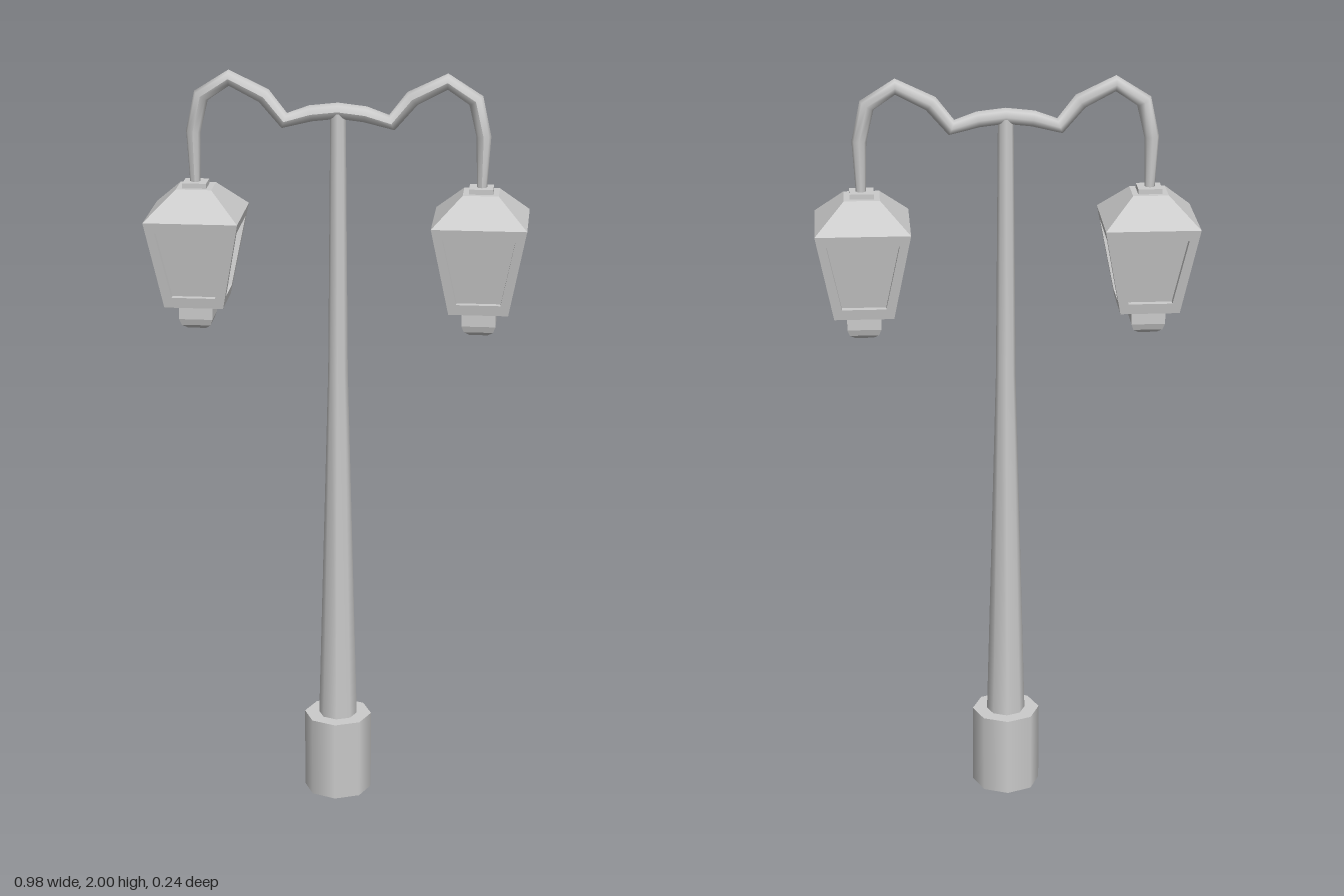
import * as THREE from 'three';

const smooth = new THREE.MeshStandardMaterial({ color: 0xcccccc });
const faceted = new THREE.MeshStandardMaterial({ color: 0xcccccc, flatShading: true });

function part(name, geometry, material) {
  const mesh = new THREE.Mesh(geometry, material);
  mesh.name = name;
  return mesh;
}

// Path through points with straight runs, one ring per point
class Polyline extends THREE.Curve {
  constructor(points) {
    super();
    this.points = points;
  }
  getPoint(t, target = new THREE.Vector3()) {
    const n = this.points.length - 1;
    const i = Math.min(Math.floor(t * n + 1e-9), n - 1);
    return target.lerpVectors(this.points[i], this.points[i + 1], t * n - i);
  }
  getPointAt(u, target) { return this.getPoint(u, target); }
  getTangentAt(u, target) { return this.getTangent(u, target); }
}

// Double-curved arm, narrowing where it meets the lanterns
function armGeometry() {
  const half = [[0.07, 1.888], [0.138, 1.868], [0.19, 1.931], [0.28, 1.976],
    [0.352, 1.929], [0.373, 1.836], [0.37, 1.69]];
  const points = [...half.map(([x, y]) => [-x, y]).reverse(), [0, 1.896], ...half]
    .map(([x, y]) => new THREE.Vector3(x, y, 0));
  const sides = 8, last = points.length - 1;
  const geo = new THREE.TubeGeometry(new Polyline(points), last, 0.021, sides);
  const pos = geo.attributes.position, v = new THREE.Vector3();
  for (let i = 0; i < pos.count; i++) {
    const ring = Math.floor(i / (sides + 1));
    const fromEnd = Math.min(ring, last - ring);
    const scale = fromEnd === 0 ? 0.6 : fromEnd === 1 ? 0.9 : 1;
    v.fromBufferAttribute(pos, i).sub(points[ring]).multiplyScalar(scale).add(points[ring]);
    pos.setXYZ(i, v.x, v.y, v.z);
  }
  geo.computeVertexNormals();
  return geo;
}

// Square solid from [half width, y] pairs, listed bottom to top
function squareLoft(profile) {
  const geo = new THREE.LatheGeometry(
    profile.map(([h, y]) => new THREE.Vector2(h * Math.SQRT2, y)), 4);
  return geo.rotateY(Math.PI / 4);
}

// One sloping lantern side: frame, window reveal and recessed pane
function lanternSide() {
  const halfAt = y => 0.077 + 0.045 * (y - 1.385) / 0.235;
  const loop = (bottom, wb, top, wt, inset) =>
    [[-wb, bottom], [wb, bottom], [wt, top], [-wt, top]].map(([x, y]) => [x, y, halfAt(y) - inset]);
  const loops = [
    loop(1.385, 0.077, 1.62, 0.122, 0),
    loop(1.413, 0.057, 1.592, 0.093, 0),
    loop(1.413, 0.057, 1.592, 0.093, 0.018),
  ];
  const index = [];
  for (let l = 0; l < 2; l++) {
    for (let i = 0; i < 4; i++) {
      const a = l * 4 + i, b = l * 4 + (i + 1) % 4;
      index.push(a, b, b + 4, a, b + 4, a + 4);
    }
  }
  index.push(8, 9, 10, 8, 10, 11);
  const geo = new THREE.BufferGeometry();
  geo.setAttribute('position', new THREE.Float32BufferAttribute(loops.flat(2), 3));
  geo.setIndex(index);
  geo.computeVertexNormals();
  return geo;
}

function createLantern() {
  const lantern = new THREE.Group();
  const side = lanternSide();
  for (let i = 0; i < 4; i++) {
    const mesh = part('lanternSide', side, faceted);
    mesh.rotation.y = i * Math.PI / 2;
    lantern.add(mesh);
  }
  lantern.add(
    part('lanternRoof', squareLoft([[0.122, 1.62], [0.046, 1.692], [0, 1.692]]), faceted),
    part('roofPlate', squareLoft([[0.031, 1.69], [0.031, 1.705], [0, 1.705]]), faceted),
    part('lanternFloor', squareLoft([[0, 1.385], [0.077, 1.385]]), faceted),
    part('bottomKnob', squareLoft([[0, 1.315], [0.024, 1.317], [0.038, 1.328],
      [0.044, 1.345], [0.044, 1.385]]), faceted),
  );
  return lantern;
}

export function createModel() {
  const model = new THREE.Group();
  model.name = 'streetLamp';

  const base = part('base', new THREE.CylinderGeometry(0.091, 0.091, 0.22, 8), smooth);
  base.position.y = 0.11;

  // Tapered pole
  const pole = part('pole', new THREE.LatheGeometry(
    [[0.052, 0.21], [0.026, 1.2], [0.02, 1.89]].map(([r, y]) => new THREE.Vector2(r, y)), 8), smooth);

  model.add(base, pole, part('arm', armGeometry(), smooth));

  for (const [name, x] of [['leftLantern', 0.369], ['rightLantern', -0.369]]) {
    const lantern = createLantern();
    lantern.name = name;
    lantern.position.x = x;
    model.add(lantern);
  }
  return model;
}
